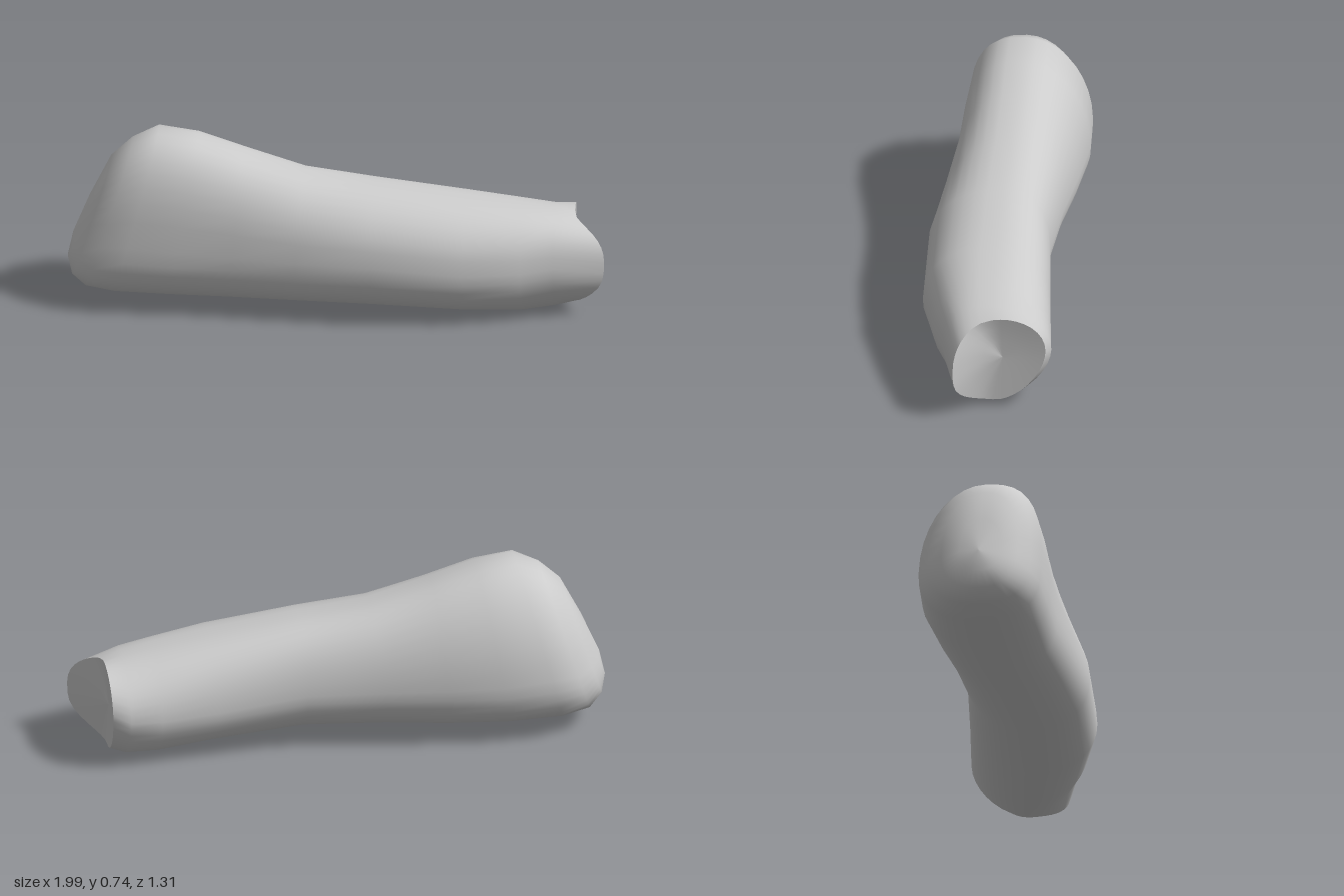
import * as THREE from 'three';

// Long axis runs diagonally across the ground plane; s is along it, n across it.
const DIR = [0.873, -0.488];
const SIDES = 36;
const place = (s, n, y) => [DIR[0] * s - DIR[1] * n, y, DIR[1] * s + DIR[0] * n];

// Cross-sections: [bottom s, bottom y, top s, top y, back n, front n,
//                  height ratio of widest point, roundness of the underside (1 = ellipse)]
const SECTIONS = [
  [-1.085, 0.29, -1.085, 0.29, 0, 0, 0.4, 0.8],
  [-1.107, 0.19, -1.01, 0.46, -0.08, 0.09, 0.38, 0.8],
  [-1.09, 0.12, -0.93, 0.615, -0.157, 0.155, 0.35, 0.78],
  [-1.035, 0.075, -0.845, 0.69, -0.225, 0.2, 0.35, 0.74],
  [-0.92, 0.055, -0.74, 0.74, -0.268, 0.229, 0.36, 0.74],
  [-0.7, 0.048, -0.58, 0.715, -0.275, 0.24, 0.36, 0.76],
  [-0.45, 0.045, -0.4, 0.655, -0.245, 0.25, 0.38, 0.8],
  [-0.2, 0.047, -0.15, 0.575, -0.205, 0.283, 0.42, 0.84],
  [0.13, 0.046, 0.13, 0.535, -0.178, 0.317, 0.45, 0.88],
  [0.5, 0.022, 0.5, 0.482, -0.208, 0.308, 0.46, 0.92],
  [0.73, 0.002, 0.73, 0.447, -0.23, 0.245, 0.5, 0.98],
  [0.86, 0.008, 0.86, 0.425, -0.242, 0.2, 0.54, 1.05],
  [0.925, 0.025, 0.94, 0.408, -0.225, 0.14, 0.52, 1.0],
];

const power = (v, e) => Math.sign(v) * Math.abs(v) ** e;

// One rounded loop as [s, n, y] points: fuller on the front side, slimmer on the back
function loop([sb, yb, st, yt, back, front, ratio, under]) {
  const mid = (back + front) / 2, half = (front - back) / 2;
  const wide = yb + (yt - yb) * ratio;
  return Array.from({ length: SIDES }, (_, i) => {
    const a = (i / SIDES) * Math.PI * 2;
    const isBack = Math.cos(a) < 0;
    const e = Math.sin(a) > 0 ? (isBack ? 0.95 : 0.78) : under + (isBack ? 0.13 : 0);
    const u = power(Math.cos(a), e), v = power(Math.sin(a), e);
    const y = wide + v * (v > 0 ? yt - wide : wide - yb);
    const f = yt > yb ? (y - yb) / (yt - yb) : 0;
    const lean = v > 0 ? -0.8 * mid * v * v : 0;
    return [sb + (st - sb) * f, mid + half * u + lean, y];
  });
}

// Skin a list of loops with smooth normals
function skin(name, loops) {
  const pos = [], index = [];
  loops.forEach((ring, r) => ring.forEach((p, i) => {
    pos.push(...place(...p));
    if (r === loops.length - 1) return;
    const j = (i + 1) % SIDES, a = r * SIDES, b = a + SIDES;
    index.push(a + i, b + i, b + j, a + i, b + j, a + j);
  }));
  const geo = new THREE.BufferGeometry();
  geo.setAttribute('position', new THREE.Float32BufferAttribute(pos, 3));
  geo.setIndex(index);
  geo.computeVertexNormals();
  const mesh = new THREE.Mesh(geo, new THREE.MeshStandardMaterial({ color: 0xcccccc, side: THREE.DoubleSide }));
  mesh.name = name;
  return mesh;
}

export function createModel() {
  const group = new THREE.Group();
  group.name = 'taperedBody';
  const loops = SECTIONS.map(loop);

  // The end's rim sweeps out to a lip on the front side and tilts down toward it
  const rim = loops[loops.length - 1];
  rim.forEach((p) => {
    p[0] += p[1] > 0 ? 0.13 * (p[1] / 0.14) ** 2 : 0;
    p[2] -= 0.2 * p[1];
  });
  group.add(skin('body', loops));

  // Shallow hollow that closes the end
  const hollow = [1, 0.75, 0.4, 0].map((k) => rim.map(([s, n, y]) => [
    0.925 + (s - 0.925) * k * k, -0.05 + (n + 0.05) * k, 0.23 + (y - 0.23) * k,
  ]));
  group.add(skin('endHollow', hollow));
  return group;
}
